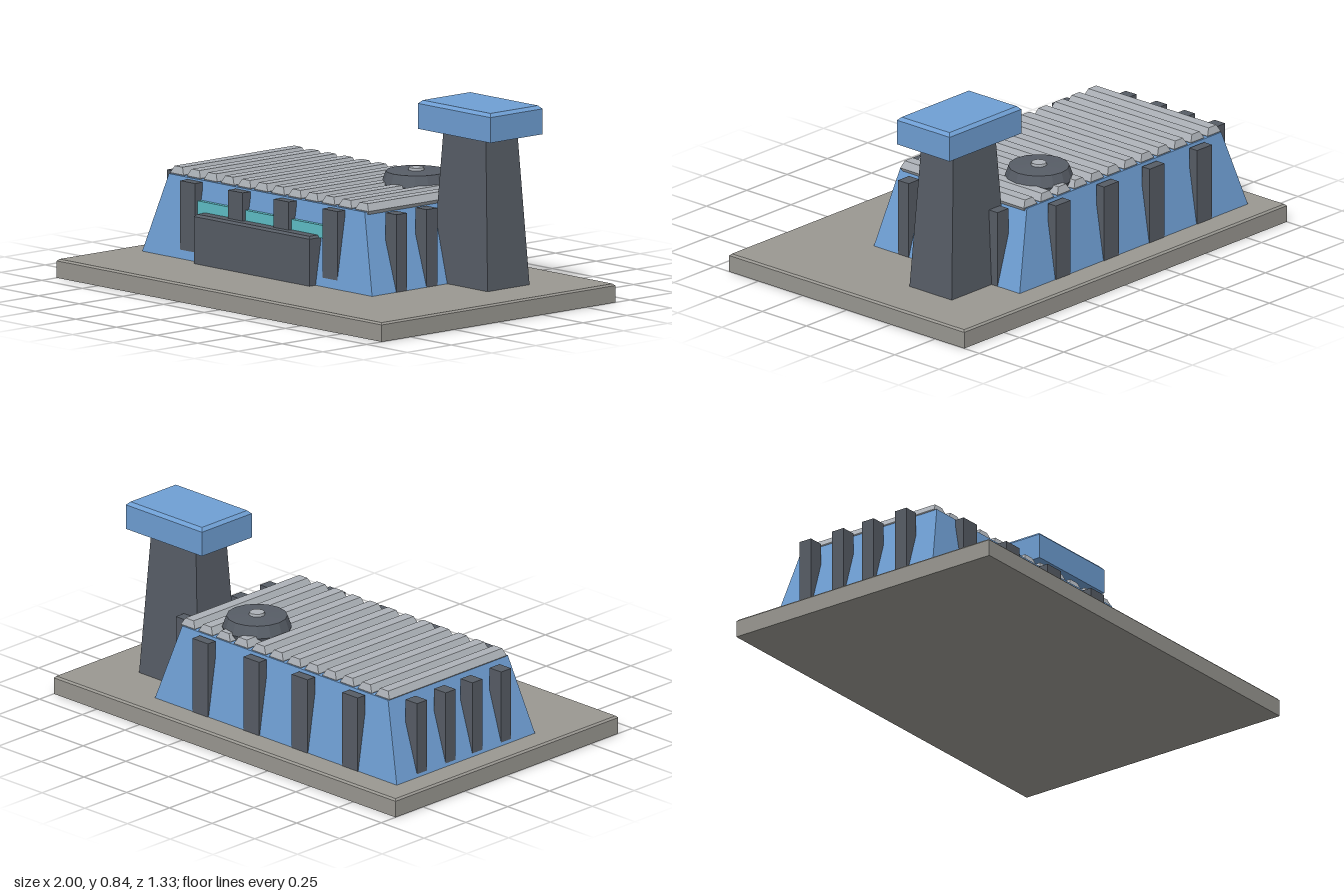
import * as THREE from 'three';

const mat = (name, color) => {
  const m = new THREE.MeshStandardMaterial({ color });
  m.name = name;
  return m;
};

// Solid from stacked rectangles, each [y, x0, x1, z0, z1], bottom to top
function stack(levels) {
  const pos = [];
  const ring = ([y, x0, x1, z0, z1]) => [[x0, y, z1], [x1, y, z1], [x1, y, z0], [x0, y, z0]];
  const quad = (a, b, c, d) => pos.push(...a, ...b, ...c, ...a, ...c, ...d);
  const rings = levels.map(ring);
  for (let i = 0; i + 1 < rings.length; i++) {
    const p = rings[i], q = rings[i + 1];
    for (let k = 0; k < 4; k++) quad(p[k], p[(k + 1) % 4], q[(k + 1) % 4], q[k]);
  }
  const b = rings[0], t = rings[rings.length - 1];
  quad(b[3], b[2], b[1], b[0]);
  quad(t[0], t[1], t[2], t[3]);
  const g = new THREE.BufferGeometry();
  g.setAttribute('position', new THREE.Float32BufferAttribute(pos, 3));
  g.computeVertexNormals();
  return g;
}

// Upright block with its top edges chamfered
const chamfered = (x0, x1, y0, y1, z0, z1, c) => stack([
  [y0, x0, x1, z0, z1],
  [y1 - c, x0, x1, z0, z1],
  [y1, x0 + c, x1 - c, z0 + c, z1 - c],
]);

export function createModel() {
  const model = new THREE.Group();
  const stone = mat('stone', 0x9a9892);
  const blue = mat('blue wall', 0x6f9fd4);
  const dark = mat('dark metal', 0x575d66);
  const light = mat('light metal', 0xadb2b8);
  const teal = mat('teal glass', 0x5fc0c8);

  const add = (name, geometry, material, parent = model) => {
    const m = new THREE.Mesh(geometry, material);
    m.name = name;
    parent.add(m);
    return m;
  };
  const group = (name) => {
    const g = new THREE.Group();
    g.name = name;
    model.add(g);
    return g;
  };

  // Ground slab and sloped hall
  add('baseSlab', chamfered(-1, 1, 0, 0.08, -0.665, 0.665, 0.008), stone);
  add('hall', stack([
    [0.08, -0.89, 0.525, -0.545, 0.28],
    [0.417, -0.785, 0.42, -0.49, 0.225],
  ]), blue);

  // Corrugated roof
  const roof = group('roofRidges');
  for (let i = 0; i < 12; i++) {
    const x = -0.747 + i * 0.1035;
    add('roofRidge', stack([
      [0.39, x - 0.024, x + 0.024, -0.475, 0.205],
      [0.42, x - 0.041, x + 0.041, -0.485, 0.215],
      [0.45, x - 0.024, x + 0.024, -0.475, 0.205],
    ]), light, roof);
  }

  // Buttresses around all four walls
  const posts = group('buttresses');
  const post = (w, d, x, z) => {
    add('buttress', new THREE.BoxGeometry(w, 0.33, d), dark, posts).position.set(x, 0.245, z);
  };
  for (const x of [-0.618, -0.324, -0.041, 0.258]) {
    post(0.092, 0.044, x, 0.252);
    post(0.092, 0.044, x, -0.526);
  }
  for (const z of [-0.39, -0.219, -0.06, 0.112]) {
    post(0.068, 0.06, -0.852, z);
    post(0.068, 0.06, 0.492, z);
  }

  // Front door panel with window strip above
  add('doorPanel', chamfered(-0.535, 0.177, 0.08, 0.29, 0.235, 0.315, 0.01), dark);
  add('windowStrip', new THREE.BoxGeometry(0.785, 0.055, 0.03), teal).position.set(-0.18, 0.307, 0.244);

  // Roof vent
  const vent = group('roofVent');
  vent.position.set(0.154, 0, -0.315);
  const profile = [[0, 0.41], [0.135, 0.41], [0.146, 0.44], [0.128, 0.49], [0, 0.495]]
    .map(([r, y]) => new THREE.Vector2(r, y));
  const ventGeo = new THREE.LatheGeometry(profile, 16).toNonIndexed();
  ventGeo.computeVertexNormals();
  add('ventDrum', ventGeo, dark, vent);
  add('ventHub', new THREE.CylinderGeometry(0.032, 0.036, 0.02, 10), light, vent).position.y = 0.495;

  // Tower with overhanging cap
  add('towerShaft', stack([
    [0.08, 0.427, 0.773, -0.387, -0.148],
    [0.73, 0.47, 0.73, -0.357, -0.178],
  ]), dark);
  add('towerCap', chamfered(0.375, 0.82, 0.722, 0.844, -0.418, -0.12, 0.014), blue);

  return model;
}
